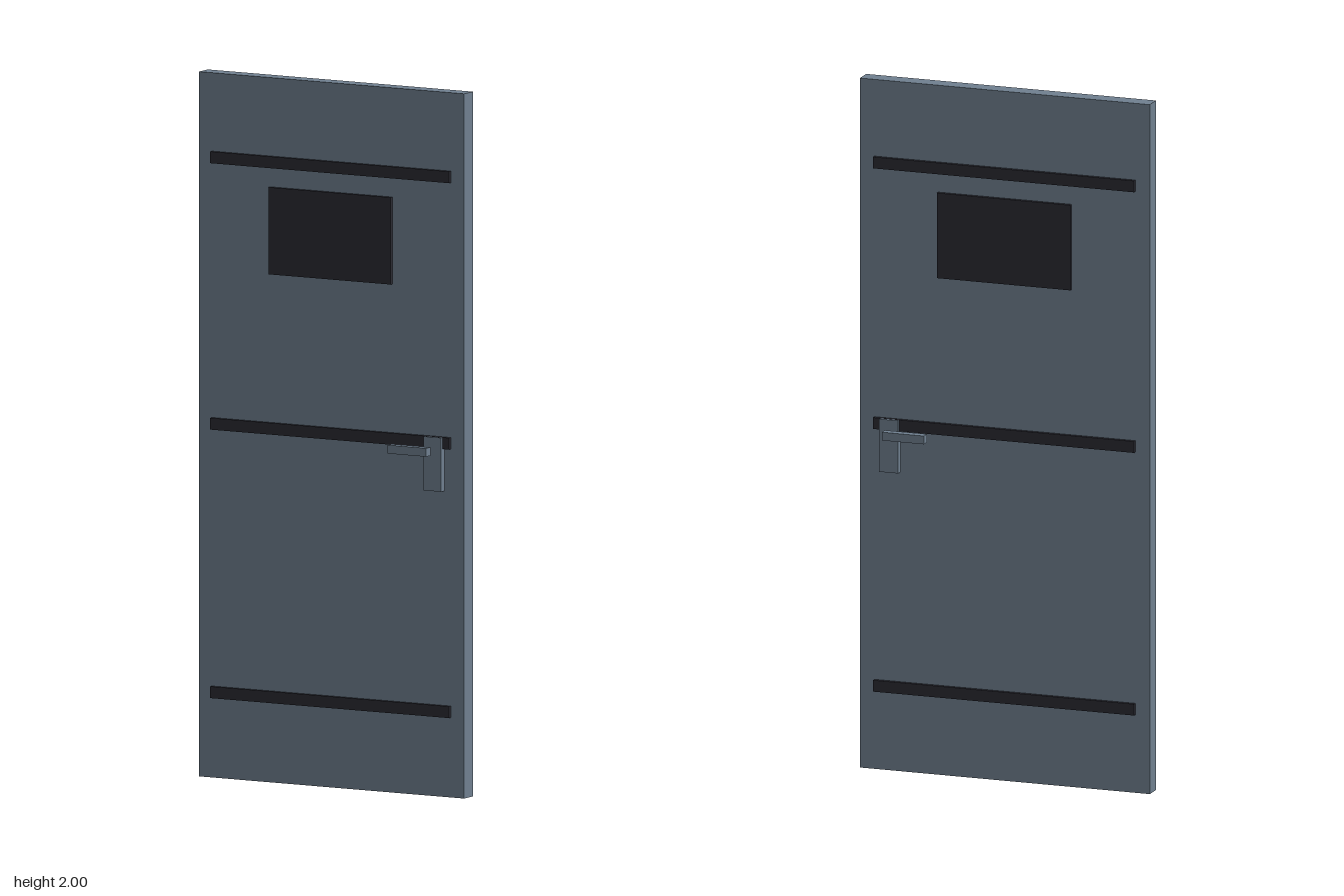
import * as THREE from 'three';

export function createModel() {
  const model = new THREE.Group();
  model.name = 'door';

  const steel = new THREE.MeshStandardMaterial({ color: 0x708090 });
  steel.name = 'slate steel';
  const dark = new THREE.MeshStandardMaterial({ color: 0x2a2a32 });
  dark.name = 'dark trim';

  // Box given by its lower and upper bounds on each axis
  function box(name, material, [x0, x1], [y0, y1], [z0, z1]) {
    const mesh = new THREE.Mesh(new THREE.BoxGeometry(x1 - x0, y1 - y0, z1 - z0), material);
    mesh.position.set((x0 + x1) / 2, (y0 + y1) / 2, (z0 + z1) / 2);
    mesh.name = name;
    model.add(mesh);
  }

  // Door leaf
  const mid = -0.0015; // middle of the leaf's thickness
  const half = 0.025;
  box('leaf', steel, [-0.434, 0.434], [0, 2], [mid - half, mid + half]);

  // Fittings repeated on the front and back faces
  for (const [side, s] of [['front', 1], ['back', -1]]) {
    // Depth range measured outward from the middle of the leaf
    const depth = (a, b) => (s > 0 ? [mid + a, mid + b] : [mid - b, mid - a]);

    // Horizontal reinforcing bars
    for (const y of [0.243, 1.005, 1.761]) {
      box(side + 'Bar', dark, [-0.391, 0.391], [y - 0.0165, y + 0.0165], depth(half, 0.0358));
    }

    // Window panel
    box(side + 'Window', dark, [-0.2, 0.2], [1.443, 1.69], depth(half, 0.0358));

    // Lock plate and lever
    box(side + 'LockPlate', steel, [0.313, 0.37], [0.868, 1.021], depth(half, 0.0435));
    box(side + 'Lever', steel, [0.22, 0.346], [0.971, 0.995], depth(0.0615, 0.0855));
  }

  return model;
}
